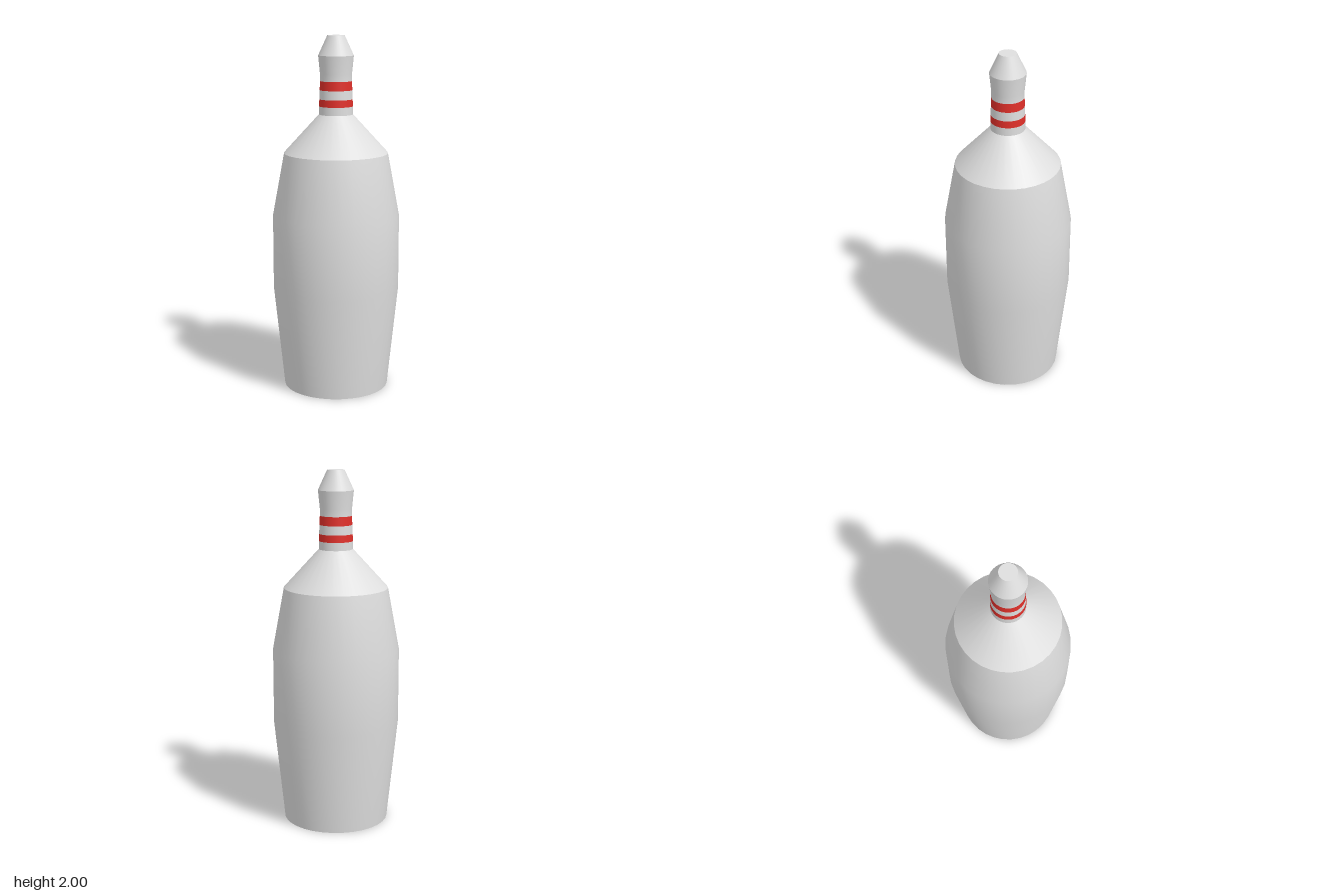
import * as THREE from 'three';

const SIDES = 32;

export function createModel() {
  const pin = new THREE.Group();
  pin.name = 'bowlingPin';

  const white = new THREE.MeshStandardMaterial({ color: 0xdedede });
  white.name = 'white';
  const red = new THREE.MeshStandardMaterial({ color: 0xe0302a });
  red.name = 'red';

  const add = (name, geometry, material) => {
    const mesh = new THREE.Mesh(geometry, material);
    mesh.name = name;
    pin.add(mesh);
    return mesh;
  };
  // Turned section from [radius, height] pairs, listed bottom to top
  const turned = (name, profile, material = white) =>
    add(name, new THREE.LatheGeometry(profile.map(([r, y]) => new THREE.Vector2(r, y)), SIDES), material);

  // Smooth belly, with hard edges at shoulder, neck and head
  turned('belly', [[0.297, 0], [0.357, 0.58], [0.357, 1.0], [0.292, 1.35]]);
  turned('shoulder', [[0.292, 1.35], [0.095, 1.565]]);

  // Neck rings with two red stripes
  turned('neckBase', [[0.095, 1.565], [0.0945, 1.61]]);
  turned('lowerStripe', [[0.0945, 1.61], [0.093, 1.65]], red);
  turned('neckMiddle', [[0.093, 1.65], [0.091, 1.7]]);
  turned('upperStripe', [[0.091, 1.7], [0.089, 1.75]], red);
  turned('neckTop', [[0.089, 1.75], [0.089, 1.79], [0.099, 1.89]]);

  // Tapered head
  turned('head', [[0.099, 1.89], [0.048, 2]]);

  // Flat ends
  const crown = add('crownCap', new THREE.CircleGeometry(0.048, SIDES), white);
  crown.rotation.x = -Math.PI / 2;
  crown.position.y = 2;
  const base = add('baseCap', new THREE.CircleGeometry(0.297, SIDES), white);
  base.rotation.x = Math.PI / 2;

  return pin;
}
